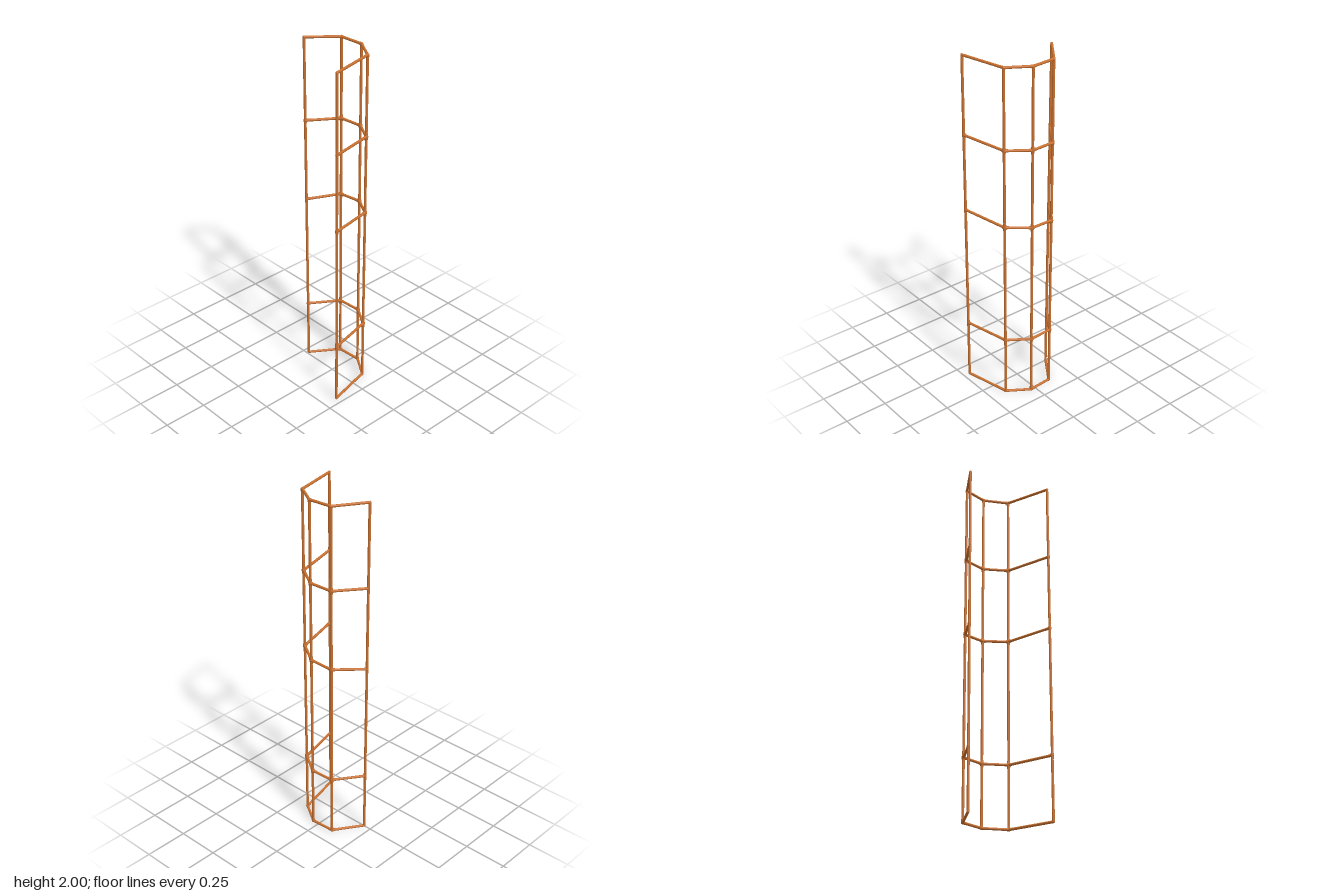
import * as THREE from 'three';

const BAR = 0.0073;
const FLARE = 0.0105;

// Ground plan of the five uprights, left to right in the front view: bottom [x, z], top [x, z]
const uprights = [
  { bottom: [-0.21, -0.006], top: [-0.2195, -0.007] },
  { bottom: [-0.104, -0.162], top: [-0.104, -0.162] },
  { bottom: [0.034, -0.170], top: [0.034, -0.170] },
  { bottom: [0.155, -0.092], top: [0.158, -0.092] },
  { bottom: [0.217, 0.170], top: [0.217, 0.170] },
];

// Height of each ring at the five uprights
const rings = [
  [0.009, 0.009, 0.009, 0.009, 0.009],
  [0.356, 0.358, 0.359, 0.362, 0.365],
  [1.047, 1.066, 1.074, 1.084, 1.098],
  [1.523, 1.526, 1.528, 1.533, 1.541],
  [1.992, 1.986, 1.985, 1.984, 1.984],
];

const UP = new THREE.Vector3(0, 1, 0);

// Round bar between two joints, swelling gently into each end
function bar(a, b, flareA, flareB, material, name) {
  const dir = b.clone().sub(a);
  const len = dir.length();
  const profile = [
    [flareA, 0], [flareA, 0.004],
    [BAR + (flareA - BAR) * 0.4, 0.013], [BAR, 0.024],
    [BAR, len - 0.024], [BAR + (flareB - BAR) * 0.4, len - 0.013],
    [flareB, len - 0.004], [flareB, len],
  ].map(([r, y]) => new THREE.Vector2(r, y));
  const mesh = new THREE.Mesh(new THREE.LatheGeometry(profile, 12), material);
  mesh.position.copy(a);
  mesh.quaternion.setFromUnitVectors(UP, dir.normalize());
  mesh.name = name;
  return mesh;
}

export function createModel() {
  const model = new THREE.Group();
  model.name = 'wireCage';
  const copper = new THREE.MeshStandardMaterial({ color: 0xc8702f });

  // Grid of joints
  const joint = rings.map((heights) => heights.map((y, i) => {
    const { bottom, top } = uprights[i];
    const t = y / 2;
    return new THREE.Vector3(
      THREE.MathUtils.lerp(bottom[0], top[0], t), y,
      THREE.MathUtils.lerp(bottom[1], top[1], t));
  }));
  const lastRing = rings.length - 1;
  const lastPost = uprights.length - 1;

  // Joints swell less on the border, least at the four corners
  const swell = (r, i) => {
    const borders = (r === 0 || r === lastRing) + (i === 0 || i === lastPost);
    return [FLARE, 0.0087, BAR][borders];
  };

  const posts = new THREE.Group();
  posts.name = 'uprights';
  const hoops = new THREE.Group();
  hoops.name = 'rings';
  const knots = new THREE.Group();
  knots.name = 'joints';
  model.add(posts, hoops, knots);

  joint.forEach((row, r) => row.forEach((p, i) => {
    // Rounded joint
    const ball = new THREE.Mesh(new THREE.SphereGeometry(swell(r, i) * 1.03, 14, 10), copper);
    ball.position.copy(p);
    ball.name = 'joint';
    knots.add(ball);
    // Crossbar to the next upright
    if (i < lastPost) {
      hoops.add(bar(p, row[i + 1], swell(r, i), swell(r, i + 1), copper, 'crossbar'));
    }
    // Upright segment to the next ring
    if (r < lastRing) {
      posts.add(bar(p, joint[r + 1][i], swell(r, i), swell(r + 1, i), copper, 'uprightSegment'));
    }
  }));

  return model;
}
